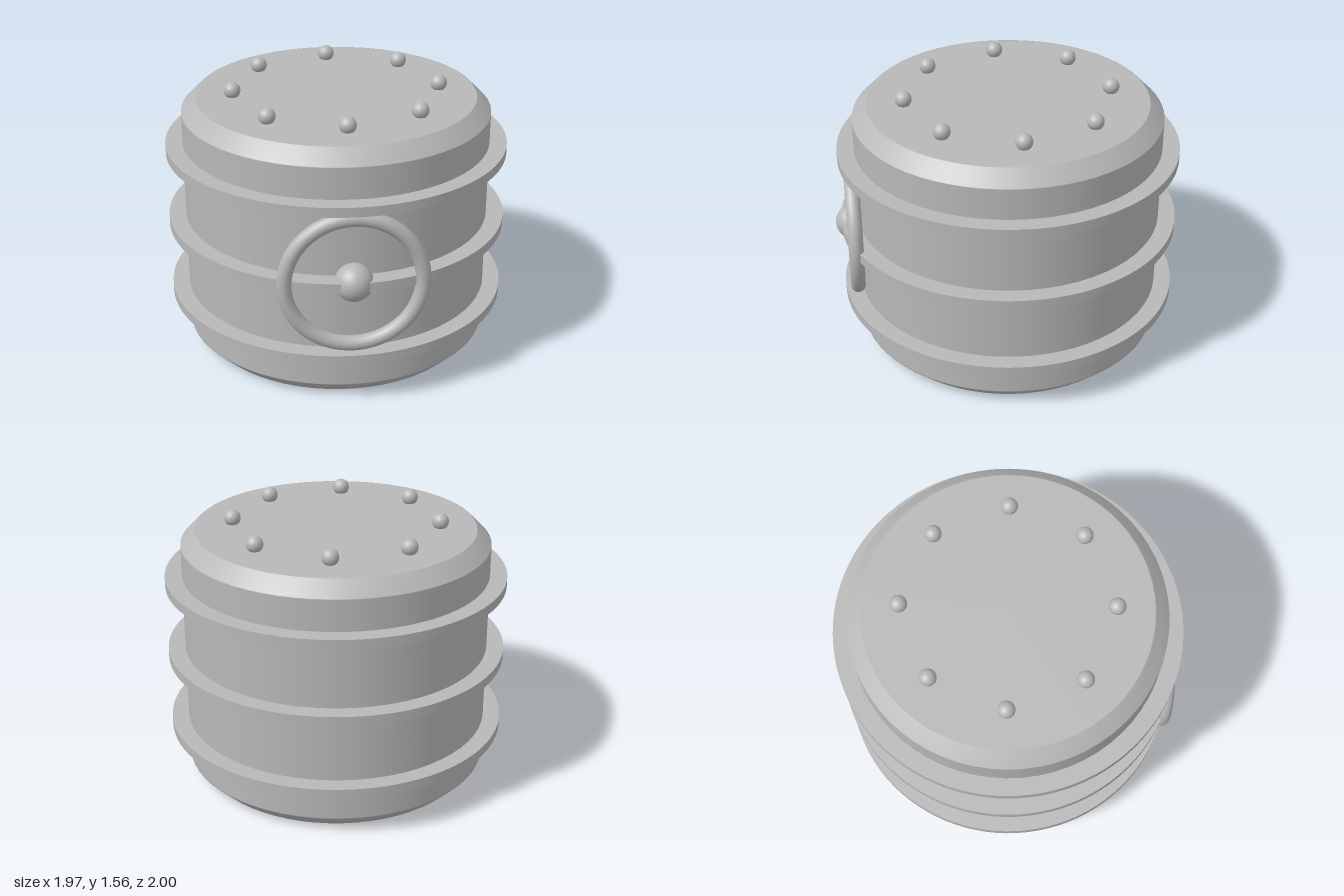
import * as THREE from 'three';

export function createModel() {
  const model = new THREE.Group();
  const steel = new THREE.MeshStandardMaterial({ color: 0xb8b8b8 });
  steel.name = 'steel grey';

  const add = (name, geometry, x, y, z) => {
    const mesh = new THREE.Mesh(geometry, steel);
    mesh.name = name;
    mesh.position.set(x, y, z);
    model.add(mesh);
    return mesh;
  };

  const axisZ = -0.016; // drum axis
  const midY = 0.743;

  // Drum body: chamfered rims, with close support points to keep wall and lids flat
  const profile = [
    [0, 0], [0.8, 0], [0.805, 0], [0.885, 0.08], [0.885, 0.085],
    [0.885, 1.395], [0.885, 1.4], [0.805, 1.48], [0.8, 1.48], [0, 1.48],
  ].map(([r, y]) => new THREE.Vector2(r, y));
  add('drumBody', new THREE.LatheGeometry(profile, 64), 0, 0, axisZ);

  // Three flat hoops around the drum
  const hoop = new THREE.CylinderGeometry(0.983, 0.983, 0.056, 96);
  for (const y of [0.3, midY, 1.188]) add('hoop', hoop, 0, y, axisZ);

  // Ring of rivets on the lid
  const rivet = new THREE.SphereGeometry(0.048, 24, 16);
  for (let i = 0; i < 8; i++) {
    const a = (i * Math.PI) / 4;
    add('lidRivet', rivet, 0.592 * Math.cos(a), 1.514, axisZ + 0.592 * Math.sin(a));
  }

  // Hand wheel and hub on the front
  add('handWheel', new THREE.TorusGeometry(0.375, 0.042, 20, 72), 0, midY, 0.896);
  add('wheelHub', new THREE.SphereGeometry(0.106, 32, 24), 0, midY, 0.894);

  return model;
}
